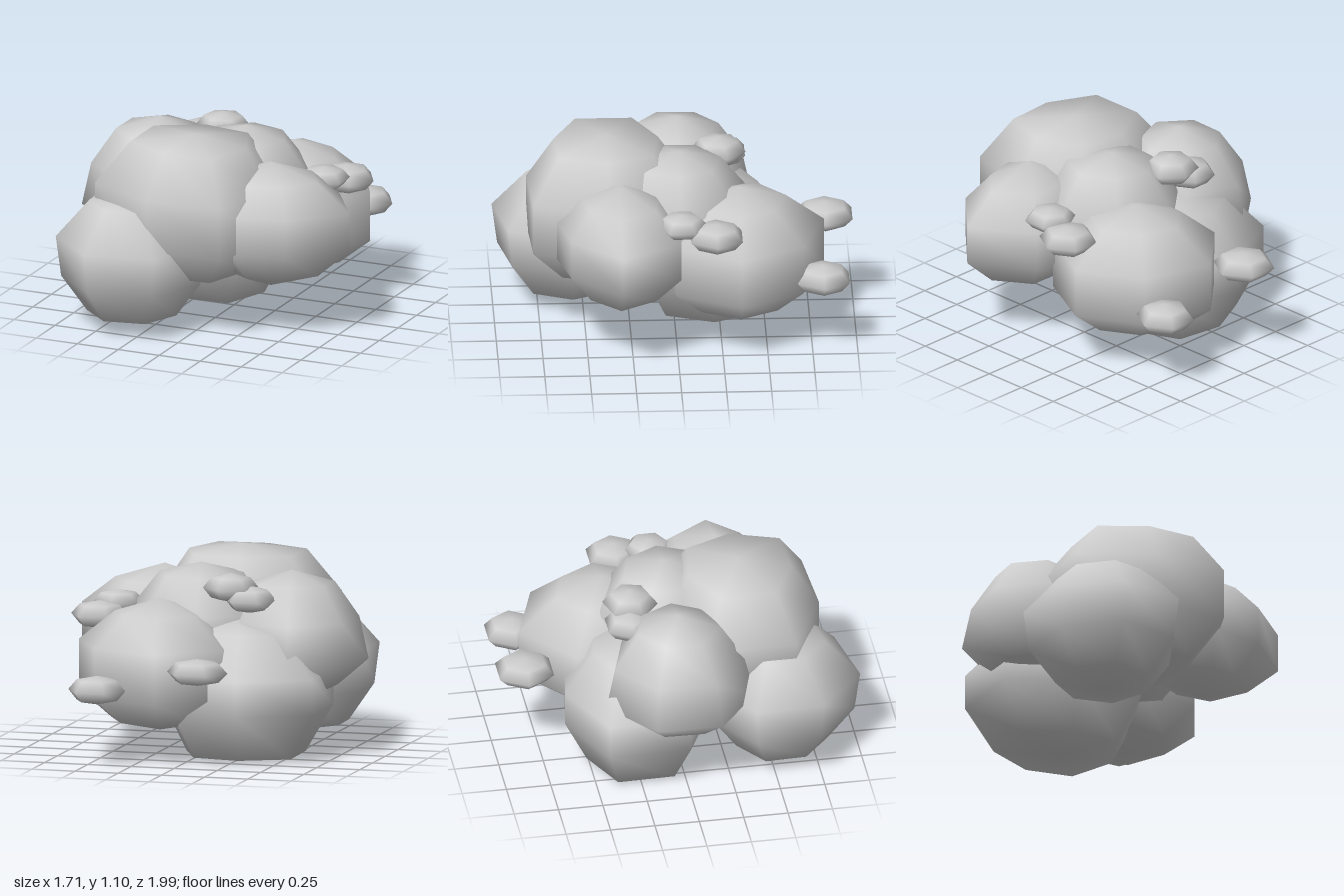
import * as THREE from 'three';
import { mergeVertices } from 'three/addons/utils/BufferGeometryUtils.js';

const material = new THREE.MeshStandardMaterial({ color: 0xcccccc });

// Shares vertices so the low-poly form is smoothly shaded
function smoothMesh(name, geometry) {
  geometry.deleteAttribute('uv');
  geometry.deleteAttribute('normal');
  const merged = mergeVertices(geometry, 1e-4);
  merged.computeVertexNormals();
  const mesh = new THREE.Mesh(merged, material);
  mesh.name = name;
  return mesh;
}

// Large lump: a 7 x 5 sphere around a vertical axis at x, z.
// radii: one reach per side; levels: row heights from top to bottom;
// upper, lower: widths of the rows next to the poles; shoulder, hip: of the two middle rows
function lump(name, x, z, radii, levels, { upper = 0.6, shoulder = 1, hip = 1, lower = 0.6 } = {}) {
  const widths = [0, upper, shoulder, hip, lower, 0];
  const geometry = new THREE.SphereGeometry(1, 7, 5);
  const pos = geometry.attributes.position;
  for (let i = 0; i < pos.count; i++) {
    const row = Math.floor(i / 8), side = (i % 8) % 7;
    const angle = (3 - side) * Math.PI * 2 / 7;
    const r = radii[side] * widths[row];
    pos.setXYZ(i, r * Math.cos(angle), levels[row], r * Math.sin(angle));
  }
  const mesh = smoothMesh(name, geometry);
  mesh.position.set(x, 0, z);
  return mesh;
}

// Small flattened six-sided tuft
function tuft(name, x, y, z, r, h, turn = 0) {
  const geometry = new THREE.SphereGeometry(1, 6, 4);
  geometry.rotateY(turn);
  geometry.scale(r, h, r);
  const mesh = smoothMesh(name, geometry);
  mesh.position.set(x, y, z);
  return mesh;
}

export function createModel() {
  const group = new THREE.Group();
  group.name = 'lumpCluster';

  // Seven large lumps grown into each other
  group.add(
    lump('topFrontLump', -0.06, 0.38, [0.56, 0.45, 0.53, 0.47, 0.5, 0.46, 0.56],
      [1.1, 1.06, 0.82, 0.53, 0.33, 0.27], { upper: 0.65 }),
    lump('lowerFrontLump', -0.36, 0.56, [0.43, 0.45, 0.46, 0.44, 0.44, 0.43, 0.445],
      [0.75, 0.73, 0.52, 0.29, 0.09, 0.04], { upper: 0.57, hip: 0.93 }),
    lump('rightLump', -0.47, -0.03, [0.43, 0.43, 0.39, 0.41, 0.4, 0.43, 0.42],
      [1.03, 0.96, 0.76, 0.52, 0.38, 0.35], { upper: 0.56, shoulder: 0.88 }),
    lump('leftLump', 0.37, 0.32, [0.41, 0.36, 0.35, 0.48, 0.425, 0.35, 0.41],
      [0.98, 0.89, 0.74, 0.52, 0.35, 0.26]),
    lump('middleLump', 0.06, -0.02, [0.42, 0.41, 0.41, 0.4, 0.385, 0.4, 0.4],
      [1.05, 0.99, 0.79, 0.54, 0.34, 0.28]),
    lump('backLump', 0.2, -0.35, [0.45, 0.46, 0.46, 0.47, 0.445, 0.49, 0.466],
      [0.89, 0.81, 0.64, 0.36, 0.21, 0.15], { upper: 0.55 }),
    lump('baseLump', -0.23, -0.22, [0.52, 0.415, 0.49, 0.45, 0.46, 0.43, 0.53],
      [0.78, 0.71, 0.48, 0.28, 0.02, 0], { lower: 0.7 }),
  );

  // Tufts in pairs around the back, side and top
  group.add(
    tuft('backTuftRight', -0.16, 0.56, -0.84, 0.175, 0.075),
    tuft('backTuftLeft', 0.43, 0.43, -0.81, 0.165, 0.08),
    tuft('sideTuftLarge', 0.59, 0.76, -0.21, 0.165, 0.078),
    tuft('sideTuftSmall', 0.54, 0.81, -0.02, 0.145, 0.065, Math.PI / 6),
    tuft('topTuftLarge', -0.18, 0.95, -0.25, 0.155, 0.08, 0.3),
    tuft('topTuftSmall', -0.3, 0.89, -0.27, 0.15, 0.075),
  );
  return group;
}
